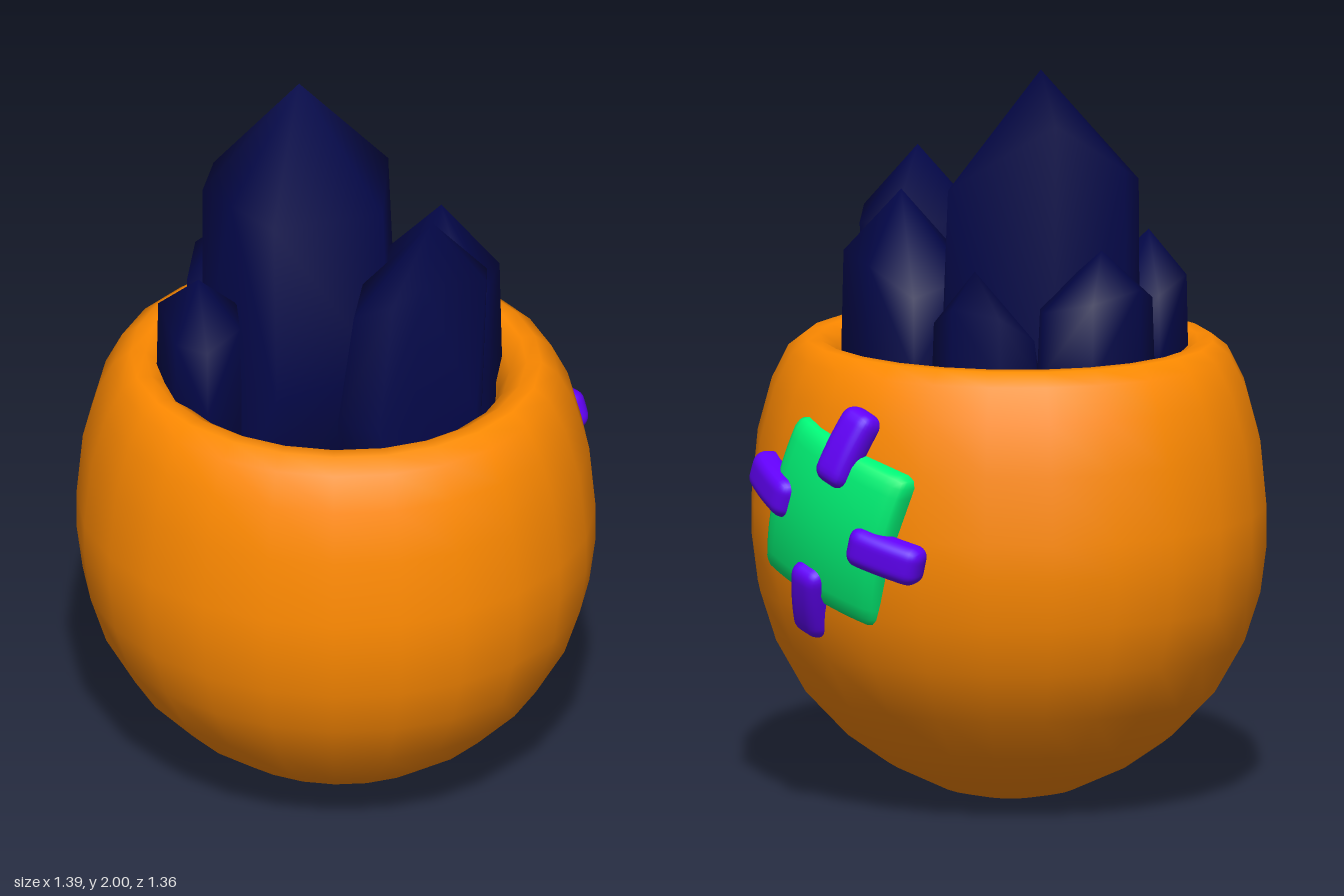
import * as THREE from 'three';
import { mergeVertices } from 'three/addons/utils/BufferGeometryUtils.js';
import { ConvexGeometry } from 'three/addons/geometries/ConvexGeometry.js';

const mat = (color) => new THREE.MeshStandardMaterial({ color });
const ORANGE = mat(0xff8a00), GREEN = mat(0x00f576), PURPLE = mat(0x6200fa), NAVY = mat(0x030748);

function add(parent, name, geometry, material) {
  const mesh = new THREE.Mesh(geometry, material);
  mesh.name = name;
  parent.add(mesh);
  return mesh;
}

// Share vertices so that the surface shades smoothly
function smooth(geometry) {
  geometry.deleteAttribute('normal');
  geometry.deleteAttribute('uv');
  const merged = mergeVertices(geometry, 1e-5);
  merged.computeVertexNormals();
  return merged;
}

// Rounded slab, bent backwards like a dome by the given curvature
function pillow(w, h, d, r, bend) {
  const g = new THREE.BoxGeometry(w, h, d, 16, 16, 6);
  const pos = g.attributes.position;
  const p = new THREE.Vector3(), inner = new THREE.Vector3();
  const max = new THREE.Vector3(w / 2 - r, h / 2 - r, d / 2 - r), min = max.clone().negate();
  for (let i = 0; i < pos.count; i++) {
    p.fromBufferAttribute(pos, i);
    inner.copy(p).clamp(min, max);
    p.sub(inner).setLength(r).add(inner);
    p.z -= bend * (p.x * p.x + p.y * p.y) / 2;
    pos.setXYZ(i, p.x, p.y, p.z);
  }
  return smooth(g);
}

// Pointed crystal: outline [x, z] at rim height, shoulders shifted by the lean
function crystal([ax, ay, az], slope, [leanX, leanZ], outline) {
  const points = [new THREE.Vector3(ax, ay, az)];
  for (const [x, z] of outline) {
    const sx = x + (ax - x) * 0.04 + leanX, sz = z + (az - z) * 0.04 + leanZ;
    const sy = ay - slope * Math.hypot(sx - ax, sz - az);
    points.push(new THREE.Vector3(sx, sy, sz));
    points.push(new THREE.Vector3(x, 1.2, z), new THREE.Vector3(x, 0.78, z));
  }
  return smooth(new ConvexGeometry(points));
}

export function createModel() {
  const model = new THREE.Group();
  model.name = 'crystalPot';

  // Egg-shaped pot with a rolled rim and a hollow
  const profile = [
    [0, 0.003], [0.09, 0.01], [0.18, 0.03], [0.33, 0.1], [0.44, 0.177], [0.555, 0.297], [0.635, 0.437],
    [0.678, 0.57], [0.695, 0.7], [0.695, 0.8], [0.678, 0.98], [0.64, 1.12], [0.595, 1.21],
    [0.55, 1.245], [0.51, 1.245], [0.465, 1.215], [0.435, 1.15], [0.43, 1.0], [0.38, 0.88],
    [0.25, 0.81], [0, 0.78],
  ].map(([r, y]) => new THREE.Vector2(r, y));
  const pot = add(model, 'pot', new THREE.LatheGeometry(profile, 24), ORANGE);
  pot.scale.z = 0.93;
  pot.position.z = 0.034;

  // Crystal cluster
  const crystals = new THREE.Group();
  crystals.name = 'crystals';
  model.add(crystals);
  [
    ['tallCrystal', [-0.14, 2, -0.09], 1.15, [-0.02, -0.03],
      [[-0.36, 0.07], [-0.355, -0.02], [-0.2, -0.15], [0.08, -0.255], [0.15, 0.03], [-0.11, 0.215], [-0.25, 0.16]]],
    ['frontRightCrystal', [0.28, 1.74, 0.08], 1.15, [0.015, -0.06],
      [[0.07, 0.16], [0.08, 0.28], [0.2, 0.3], [0.28, 0.26], [0.415, 0.12], [0.385, 0.01], [0.27, -0.02]]],
    ['backRightCrystal', [0.24, 1.66, -0.14], 1.1, [0, 0],
      [[0.03, -0.17], [0.12, -0.35], [0.27, -0.31], [0.4, -0.17], [0.4, -0.06], [0.38, 0.02], [0.25, 0.02], [0.12, 0]]],
    ['frontLeftCrystal', [-0.33, 1.53, 0.21], 0.9, [0, 0],
      [[-0.455, 0.18], [-0.42, 0.06], [-0.33, 0.03], [-0.24, 0.14], [-0.2, 0.24], [-0.26, 0.355], [-0.35, 0.355]]],
    ['backLeftCrystal', [-0.33, 1.53, -0.13], 0.9, [0, 0],
      [[-0.445, -0.13], [-0.36, -0.27], [-0.21, -0.265], [-0.14, -0.13], [-0.28, 0.05], [-0.36, 0.05], [-0.43, 0]]],
    ['backCrystal', [-0.05, 1.49, -0.34], 1.2, [0, 0],
      [[-0.2, -0.27], [-0.14, -0.385], [-0.01, -0.41], [0.08, -0.32], [0.05, -0.18], [-0.16, -0.16]]],
  ].forEach(([name, tip, slope, lean, outline]) =>
    add(crystals, name, crystal(tip, slope, lean, outline), NAVY));

  // Sewn-on patch hugging the back of the pot
  const patch = new THREE.Group();
  patch.name = 'patch';
  patch.position.set(0.29, 0.82, -0.545);
  patch.rotation.y = Math.PI - 0.44;
  model.add(patch);
  const cloth = add(patch, 'patchCloth', pillow(0.44, 0.44, 0.09, 0.03, 1.4), GREEN);
  cloth.rotation.z = -0.29;

  // Four stitches, one across each edge of the patch
  const stitchGeometry = pillow(0.22, 0.11, 0.085, 0.035, 1.4);
  [-0.27, 1.26, 2.79, 4.4].forEach((angle, i) => {
    const arm = new THREE.Group();
    arm.name = 'stitch' + (i + 1);
    arm.rotation.z = angle;
    patch.add(arm);
    const stitch = add(arm, 'stitchThread', stitchGeometry, PURPLE);
    stitch.position.set(0.225, 0, -0.006);
    stitch.rotation.y = 0.34;
  });

  return model;
}
